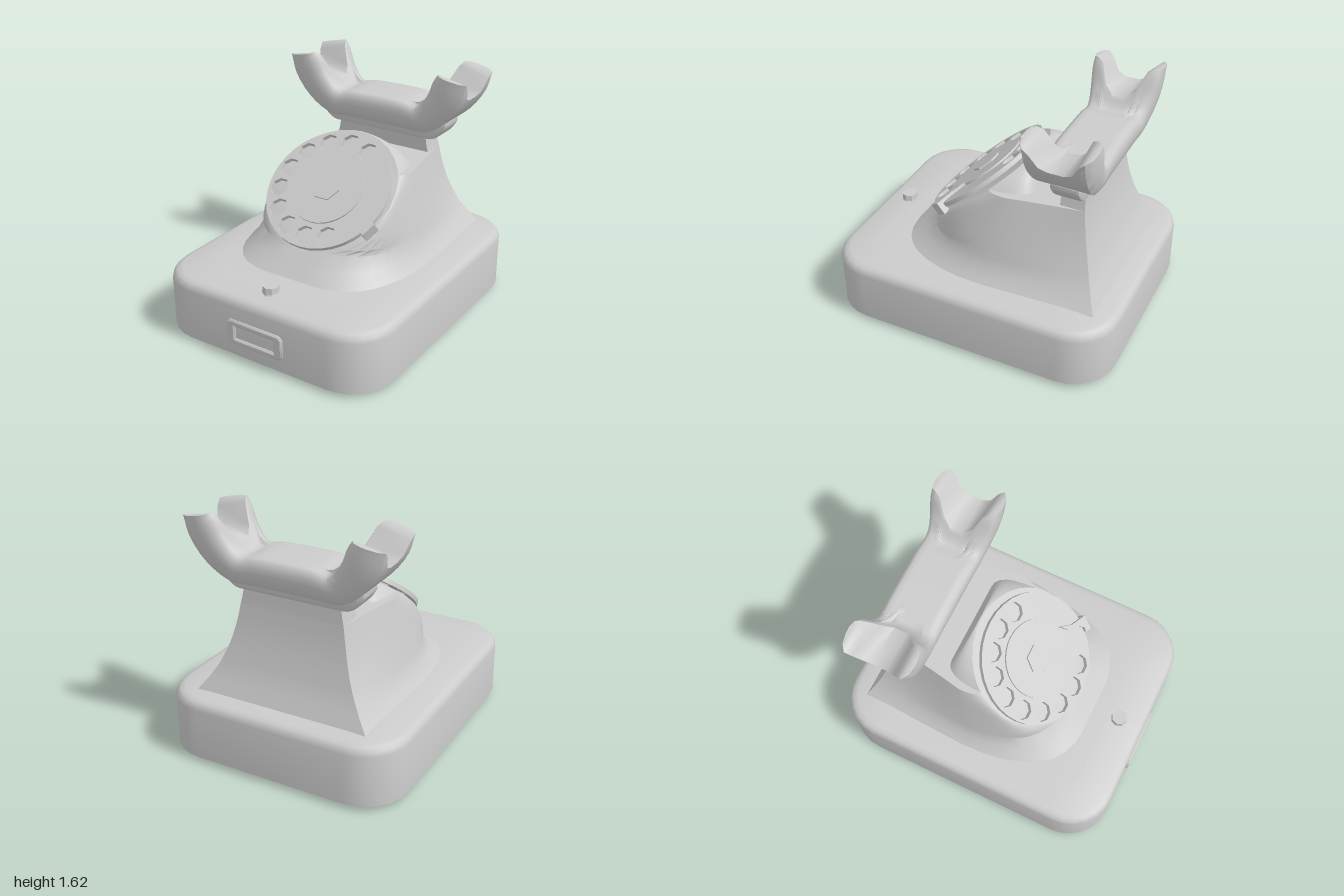
import * as THREE from 'three';
import { toCreasedNormals } from 'three/addons/utils/BufferGeometryUtils.js';

const grey = new THREE.MeshStandardMaterial({ color: 0xcccccc });

function add(parent, name, geometry, x = 0, y = 0, z = 0, crease = 0.6) {
  const mesh = new THREE.Mesh(toCreasedNormals(geometry, crease), grey);
  mesh.name = name;
  mesh.position.set(x, y, z);
  parent.add(mesh);
  return mesh;
}

// Skin over closed rings (counter-clockwise seen from the far end), ends closed by strips
function loft(rings) {
  const n = rings[0].length, last = (rings.length - 1) * n, index = [];
  const quad = (a, b, c, d) => index.push(a, b, c, a, c, d);
  for (let i = 0; i < rings.length - 1; i++) {
    for (let j = 0; j < n; j++) {
      const k = (j + 1) % n;
      quad(i * n + j, i * n + k, (i + 1) * n + k, (i + 1) * n + j);
    }
  }
  for (let j = 0; j < n / 2 - 1; j++) {
    quad(n - 1 - j, n - 2 - j, j + 1, j);
    quad(last + j, last + j + 1, last + n - 2 - j, last + n - 1 - j);
  }
  const g = new THREE.BufferGeometry();
  g.setAttribute('position', new THREE.Float32BufferAttribute(rings.flat(2), 3));
  g.setIndex(index);
  return g;
}

// Full horizontal ring from its +x half, listed front centre to back centre
function mirrorRing(half, y) {
  const right = half.map(([x, z]) => [x, y, z]);
  const left = half.slice(1, -1).reverse().map(([x, z]) => [-x, y, z]);
  return [...right, ...left];
}

// Quadratic curve between plan points a and c
function bend(a, b, c, steps) {
  return Array.from({ length: steps + 1 }, (_, i) => {
    const t = i / steps, s = 1 - t;
    return [0, 1].map(k => s * s * a[k] + 2 * s * t * b[k] + t * t * c[k]);
  });
}

// Rounded rectangle ring for the base
function baseRing(y, inset) {
  const w = 0.827 - inset, r = Math.max(0.3 - inset * 0.6, 0.1);
  const f = 0.985 - inset, b = -1 + inset, half = [[0, f]];
  for (let i = 0; i <= 6; i++) {
    const a = i / 6 * Math.PI / 2;
    half.push([w - r + r * Math.sin(a), f - r + r * Math.cos(a)]);
  }
  for (let i = 0; i <= 6; i++) {
    const a = i / 6 * Math.PI / 2;
    half.push([w - r + r * Math.cos(a), b + r - r * Math.sin(a)]);
  }
  half.push([0, b]);
  return mirrorRing(half, y);
}

// Sloping dial plane: its depth and the half chord of the dial circle at height y
const slopeZ = y => 0.46 - (y - 0.61) / 0.834;
const chord = y => Math.sqrt(Math.max(0, 0.4526 ** 2 - ((y - 0.9) / 0.64) ** 2));

function makeBody(group) {
  // y, front z, flat front half width, side half width, back half width, back z
  const rows = [
    [0.43, 0.645, 0.22, 0.65, 0.615, -0.86],
    [0.47, 0.60, 0.18, 0.62, 0.585, -0.84],
    [0.53, 0.54, 0.13, 0.572, 0.54, -0.81],
    [0.61, 0.46, 0.08, 0.55, 0.49, -0.775],
  ];
  const upper = [[0.65, 0.54, 0.47, -0.762], [0.72, 0.522, 0.44, -0.74], [0.8, 0.502, 0.413, -0.718],
    [0.88, 0.482, 0.393, -0.7], [0.96, 0.463, 0.376, -0.686], [1.03, 0.445, 0.364, -0.677]];
  for (const [y, w, bw, bz] of upper) rows.push([y, slopeZ(y), chord(y), w, bw, bz]);
  const rings = rows.map(([y, fz, c, w, bw, bz]) => {
    const t = (y - 0.43) / 0.6, mid = -0.08 - 0.1 * t;
    return mirrorRing([[0, fz], [c / 2, fz],
      ...bend([c, fz], [w, fz - 0.02], [w, mid], 8),
      ...bend([w, mid], [w - 0.01 - 0.04 * t, (mid + bz) / 2], [bw, bz], 4).slice(1),
      [bw / 2, bz], [0, bz]], y);
  });
  add(group, 'body', loft(rings));

  // Rounded head behind the top of the dial
  const head = [1.025, 1.06, 1.1, 1.14, 1.17, 1.185, 1.19].map(y => {
    const c = chord(y), fz = slopeZ(y), bz = -0.31 + (y - 1.03) * 0.42;
    return mirrorRing([[0, fz], [c / 2, fz],
      ...bend([c, fz], [c, bz], [c * 0.72, bz], 6), [c * 0.4, bz], [0, bz]], y);
  });
  add(group, 'dialHead', loft(head));

  // Neck carrying the cradle
  const neck = [[1.02, 0.366, -0.678], [1.08, 0.352, -0.672], [1.15, 0.34, -0.668]].map(([y, w, bz]) =>
    mirrorRing([[0, -0.512], [w, -0.512], [w, bz], [0, bz]], y));
  add(group, 'neck', loft(neck));
}

function makeDial(group) {
  const dial = new THREE.Group();
  dial.name = 'dial';
  dial.position.set(0, 0.922, 0.17);
  dial.rotation.x = -0.876;
  group.add(dial);
  const disc = (name, r, sides, z0, z1, turn = 0) => {
    const g = new THREE.CylinderGeometry(r, r, z1 - z0, sides);
    g.rotateX(Math.PI / 2).rotateZ(turn);
    return add(dial, name, g, 0, 0, (z0 + z1) / 2);
  };

  // Wheel with ten finger holes
  const wheel = new THREE.Shape().absarc(0, 0, 0.44, 0, Math.PI * 2);
  for (let i = -1; i < 9; i++) {
    const a = Math.PI / 2 + i * Math.PI / 7, hole = [];
    for (let k = 0; k < 8; k++) {
      const b = -k * Math.PI / 4 + Math.PI / 8;
      hole.push(new THREE.Vector2(0.355 * Math.cos(a) + 0.067 * Math.cos(b), 0.355 * Math.sin(a) + 0.067 * Math.sin(b)));
    }
    wheel.holes.push(new THREE.Path(hole));
  }
  add(dial, 'fingerWheel', new THREE.ExtrudeGeometry(wheel, { depth: 0.03, bevelEnabled: false, curveSegments: 18 }), 0, 0, -0.03);
  disc('wheelHub', 0.27, 24, -0.07, -0.02);
  disc('centrePlate', 0.262, 32, -0.01, 0.012);
  disc('centreNut', 0.1, 6, 0, 0.024, Math.PI / 6);

  // Finger stop: a flat pointer and the bracket at the rim
  const points = [[0.265, -0.03], [0.29, -0.1], [0.355, -0.16], [0.4, -0.24], [0.44, -0.16], [0.34, -0.11]];
  const pointer = new THREE.Shape(points.map(p => new THREE.Vector2(...p)));
  add(dial, 'fingerStop', new THREE.ExtrudeGeometry(pointer, { depth: 0.02, bevelEnabled: false }), 0, 0, 0.005);
  const bracket = add(dial, 'stopBracket', new THREE.BoxGeometry(0.045, 0.1, 0.085), 0.405, -0.2, -0.018);
  bracket.rotation.z = -0.45;
}

function makeCradle(group) {
  // Support bar below the fork
  const bar = new THREE.Shape();
  bar.moveTo(-0.36, 1.14).lineTo(0.36, 1.14);
  bar.quadraticCurveTo(0.43, 1.14, 0.485, 1.24).lineTo(0.485, 1.25).lineTo(-0.485, 1.25).lineTo(-0.485, 1.24);
  bar.quadraticCurveTo(-0.43, 1.14, -0.36, 1.14);
  add(group, 'cradleSupport', new THREE.ExtrudeGeometry(bar, {
    depth: 0.15, bevelThickness: 0.022, bevelSize: 0.015, bevelSegments: 2, curveSegments: 5,
  }), 0, 0, -0.665);

  // Fork: outer and inner lines swept across z, prongs reaching further than the saddle
  const curve = pts => new THREE.CatmullRomCurve3(pts.map(p => new THREE.Vector3(p[0], p[1], 0)));
  const outer = curve([[0, 1.2], [0.22, 1.2], [0.38, 1.2], [0.52, 1.285], [0.645, 1.45], [0.685, 1.585]]);
  const inner = curve([[0, 1.39], [0.2, 1.385], [0.31, 1.37], [0.4, 1.47], [0.45, 1.585], [0.48, 1.625]]);
  // z fraction, height from outer to inner line, reach along the arm
  const lower = [[1, 0.5, 1], [0.95, 0.2, 1], [0.82, 0, 1], [0.65, 0, 0.94], [0.45, 0, 0.82], [0.2, 0, 0.79]];
  const upper = [[1, 0.7, 1], [0.94, 0.93, 1], [0.82, 1, 1], [0.65, 1, 0.88], [0.45, 1, 0.62], [0.2, 1, 0.53]];
  const flip = p => [-p[0], p[1], p[2]];
  const section = [...lower, ...lower.map(flip).reverse(), ...upper.map(flip), ...upper.slice().reverse()];
  const rings = [];
  for (let i = -16; i <= 16; i++) {
    const u = Math.abs(i) / 16;
    rings.push(section.map(([f, h, reach]) => {
      const s = u * reach;
      const p = outer.getPoint(s).lerp(inner.getPoint(s), h);
      const width = 0.195 + 0.037 * THREE.MathUtils.smoothstep(s, 0.35, 0.8);
      return [Math.sign(i) * p.x, p.y, -0.59 + f * width];
    }));
  }
  add(group, 'cradleFork', loft(rings), 0, 0, 0, 0.9);
}

export function createModel() {
  const group = new THREE.Group();
  group.name = 'telephone';

  // Base with softened top edge and slightly crowned top
  const steps = [[0.03, 0], [0.375, 0], [0.405, 0.008], [0.425, 0.025], [0.435, 0.055], [0.455, 0.25]];
  add(group, 'base', loft(steps.map(s => baseRing(...s))));
  for (const x of [-0.487, 0.487]) {
    for (const z of [0.66, -0.645]) add(group, 'foot', new THREE.CylinderGeometry(0.155, 0.155, 0.05, 8), x, 0.025, z);
  }

  makeBody(group);
  makeDial(group);
  makeCradle(group);

  // Button on the front of the base
  add(group, 'buttonStem', new THREE.CylinderGeometry(0.045, 0.06, 0.04, 8), 0, 0.445, 0.805);
  add(group, 'button', new THREE.CylinderGeometry(0.052, 0.055, 0.04, 8), 0, 0.476, 0.805);

  // Label frame on the front wall
  const frame = new THREE.Shape(), w = 0.205, h = 0.075, c = 0.02;
  frame.moveTo(-w + c, -h).lineTo(w - c, -h).lineTo(w, -h + c).lineTo(w, h - c);
  frame.lineTo(w - c, h).lineTo(-w + c, h).lineTo(-w, h - c).lineTo(-w, -h + c).closePath();
  frame.holes.push(new THREE.Path([[-0.16, -0.055], [-0.16, 0.055], [0.16, 0.055], [0.16, -0.055]].map(p => new THREE.Vector2(...p))));
  add(group, 'labelFrame', new THREE.ExtrudeGeometry(frame, {
    depth: 0.01, bevelThickness: 0.01, bevelSize: 0.012, bevelSegments: 1,
  }), 0, 0.2, 0.98);
  return group;
}
